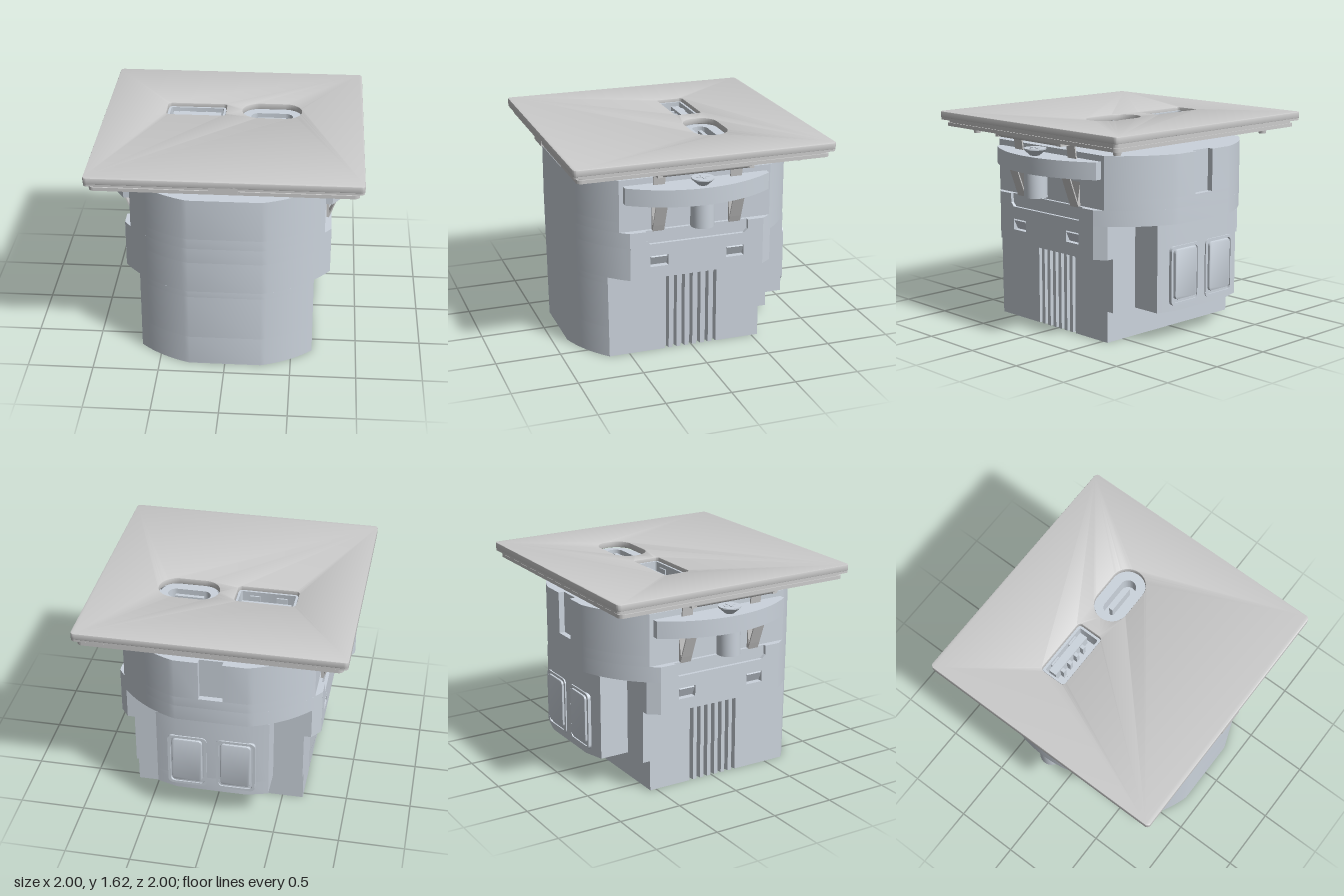
import * as THREE from 'three';
import { toCreasedNormals } from 'three/addons/utils/BufferGeometryUtils.js';

const grey = new THREE.MeshStandardMaterial({ color: 0xcccccc });
const blueGrey = new THREE.MeshStandardMaterial({ color: 0xcbd3dc });
const R = 0.94, FLAT = 0.9, FX = Math.sqrt(R * R - FLAT * FLAT);

function add(parent, name, geo, mat = blueGrey, x = 0, y = 0, z = 0) {
  const m = new THREE.Mesh(geo, mat);
  m.name = name;
  m.position.set(x, y, z);
  parent.add(m);
  return m;
}
const box = (parent, name, x0, x1, y0, y1, z0, z1, mat) =>
  add(parent, name, new THREE.BoxGeometry(x1 - x0, y1 - y0, z1 - z0), mat,
    (x0 + x1) / 2, (y0 + y1) / 2, (z0 + z1) / 2);

// Rounded rectangle in plan; shape y is -z
function roundRect(x0, x1, z0, z1, r, C = THREE.Shape) {
  const s = new C(), a = -z1, b = -z0, h = Math.PI / 2;
  s.absarc(x1 - r, a + r, r, -h, 0);
  s.absarc(x1 - r, b - r, r, 0, h);
  s.absarc(x0 + r, b - r, r, h, 2 * h);
  s.absarc(x0 + r, a + r, r, 2 * h, 3 * h);
  s.closePath();
  return s;
}
function circle(x, z, r, C = THREE.Path) {
  return new C().absarc(x, -z, r, 0, Math.PI * 2);
}
// Upright prism from a plan shape
function prism(shape, y0, y1, holes = [], bevel = 0) {
  shape.holes.push(...holes);
  const g = new THREE.ExtrudeGeometry(shape, {
    depth: y1 - y0 - 2 * bevel, curveSegments: 16, bevelEnabled: bevel > 0,
    bevelSize: bevel, bevelThickness: bevel, bevelOffset: -bevel, bevelSegments: 2,
  });
  g.rotateX(-Math.PI / 2).translate(0, y0 + bevel, 0);
  return toCreasedNormals(g, 0.45);
}
const planShape = pts => new THREE.Shape(pts.map(([x, z]) => new THREE.Vector2(x, -z)));

// Mirrored plan: front flat, arc to x = xm, side points, then a back
function outline(xm, side = [], back = null) {
  const half = [], a0 = Math.atan2(FX, FLAT), a1 = Math.asin(xm / R), n = 12;
  const arc = i => { const a = a0 + (a1 - a0) * i / n; return [R * Math.sin(a), R * Math.cos(a)]; };
  for (let i = 0; i <= n; i++) half.push(arc(i));
  half.push(...side);
  if (back) half.push(...back);
  else for (let i = n; i >= 0; i--) half.push([arc(i)[0], -arc(i)[1]]);
  return half.concat(half.map(([x, z]) => [-x, z]).reverse());
}

function buildHousing(g) {
  // Ventilation grooves cut in the lower side walls
  const grooves = [];
  for (let i = 0; i < 7; i++) {
    const z = 0.2 - i * 0.064;
    grooves.push([0.66, z + 0.016], [0.615, z + 0.008], [0.615, z - 0.008], [0.66, z - 0.016]);
  }
  const edge = Math.sqrt(R * R - 0.78 * 0.78);
  const inset = [[0.735, edge], [0.735, -edge], [0.78, -edge]];
  const keyway = outline(0.73);
  keyway.splice(keyway.length / 2, 0, [0.09, -FLAT], [0.09, -0.855], [-0.09, -0.855], [-0.09, -FLAT]);
  const levels = [
    [0, 0.008, outline(0.66, grooves, [[0.66, -0.55]]), [roundRect(-0.48, 0.48, -0.13, 0.14, 0.03, THREE.Path)]],
    [0.008, 0.24, outline(0.66, grooves, [[0.66, -0.55]])],
    [0.24, 0.6, outline(0.66, grooves, [[0.66, -0.61]])],
    [0.6, 0.65, outline(0.66, [], [[0.66, -0.61]])],
    [0.65, 0.9, outline(0.78, inset, [[0.715, -0.61]])],
    [0.9, 1.02, outline(0.78, inset)],
    [1.02, 1.1, outline(0.73)],
    [1.1, 1.42, keyway],
  ];
  for (const [y0, y1, pts, holes] of levels) {
    const geo = prism(planShape(pts), y0, y1, holes);
    // slight draft towards the base
    const p = geo.attributes.position;
    for (let i = 0; i < p.count; i++)
      if (p.getZ(i) > 0.6) p.setZ(i, p.getZ(i) * (1 - 0.018 * Math.max(0, 1 - p.getY(i))));
    add(g, 'housing', geo);
  }
  // Rear terminal block with wire holes underneath
  const block = () => planShape([[0.43, -0.6], [0.43, -0.84], [0.27, -0.885],
    [-0.27, -0.885], [-0.43, -0.84], [-0.43, -0.6]]);
  const holes = [-0.32, -0.11, 0.11, 0.32].map(x => circle(x, -0.73, 0.035));
  for (const x of [-0.22, 0.22]) holes.push(roundRect(x - 0.03, x + 0.03, -0.66, -0.62, 0.005, THREE.Path));
  add(g, 'terminalBlock', prism(block(), 0.24, 0.36, holes));
  add(g, 'terminalBlock', prism(block(), 0.36, 0.9));
  box(g, 'terminalLedge', -0.43, 0.43, 0.24, 0.3, -0.6, -0.55);
  // Rear release panels inside U-shaped rims
  for (const s of [-1, 1]) {
    const panel = prism(roundRect(-0.115, 0.115, -0.19, 0.19, 0.03), 0, 0.035, [], 0.006);
    add(g, 'releasePanel', panel, blueGrey, s * 0.185, 0.52, -0.87).rotation.x = -Math.PI / 2;
    const rim = prism(roundRect(-0.15, 0.15, -0.225, 0.225, 0.04), 0, 0.025,
      [roundRect(-0.13, 0.13, -0.205, 0.205, 0.03, THREE.Path)]);
    add(g, 'panelRim', rim, blueGrey, s * 0.185, 0.51, -0.87).rotation.x = -Math.PI / 2;
  }
  // Raised deck on top of the housing
  add(g, 'deck', prism(roundRect(-0.57, 0.57, -0.05, 0.5, 0.04), 1.42, 1.51));
}

// One mounting side, built at +x
function buildSide() {
  const g = new THREE.Group();
  g.name = 'mountingSide';
  // Cover plate with two windows and a dipped top edge (shape x is -z)
  const s = new THREE.Shape([[-0.525, 0.65], [0.525, 0.65], [0.525, 1.02], [0.4, 1.02], [0.4, 0.95],
    [0.37, 0.92], [-0.37, 0.92], [-0.4, 0.95], [-0.4, 1.02], [-0.525, 1.02]].map(p => new THREE.Vector2(...p)));
  for (const z of [-0.3, 0.3])
    s.holes.push(new THREE.Path([[z - 0.07, 0.74], [z + 0.07, 0.74], [z + 0.07, 0.825], [z - 0.07, 0.825]]
      .map(p => new THREE.Vector2(...p))));
  const cover = new THREE.ExtrudeGeometry(s, { depth: 0.047, bevelEnabled: false });
  add(g, 'sideCover', cover.rotateY(Math.PI / 2), blueGrey, 0.733);
  box(g, 'coverDip', 0.72, 0.755, 0.9, 1.02, -0.41, 0.41);
  for (const z of [-0.3, 0.3]) {
    const latch = add(g, 'latch', new THREE.BoxGeometry(0.02, 0.075, 0.13), blueGrey, 0.755, 0.785, z);
    latch.rotation.z = -0.45;
  }
  // Crescent mounting ear with its screw boss
  const ear = [], a = Math.asin(0.56 / 0.96);
  for (let i = 0; i <= 20; i++) {
    const t = a - 2 * a * i / 20;
    ear.push([0.96 * Math.cos(t), 0.96 * Math.sin(t)]);
  }
  ear.push([0.72, -0.56], [0.72, 0.56]);
  add(g, 'mountingEar', prism(planShape(ear), 1.245, 1.375));
  add(g, 'screwBoss', prism(circle(0.87, 0, 0.088, THREE.Shape), 1.06, 1.25, [circle(0.87, 0, 0.045)]));
  const profile = [[0, 1.1], [0.035, 1.1], [0.035, 1.375], [0.085, 1.42], [0.085, 1.43], [0, 1.43]]
    .map(p => new THREE.Vector2(...p));
  add(g, 'screw', toCreasedNormals(new THREE.LatheGeometry(profile, 28), 0.5), blueGrey, 0.875);
  box(g, 'screwCross', 0.83, 0.92, 1.428, 1.434, -0.01, 0.01);
  box(g, 'screwCross', 0.865, 0.885, 1.428, 1.434, -0.045, 0.045);
  // Bent leaf springs
  const path = [[0.8, 1.52], [0.775, 1.36], [0.85, 1.26], [0.775, 1.06], [0.755, 1.01], [0.738, 1.01], [0.738, 1.2]];
  const leaf = new THREE.Shape(path.concat(path.map(([x, y]) => [x - 0.012, y - 0.005]).reverse())
    .map(p => new THREE.Vector2(...p)));
  for (const z of [-0.3, 0.3]) {
    const geo = new THREE.ExtrudeGeometry(leaf, { depth: 0.09, bevelEnabled: false });
    add(g, 'leafSpring', geo, new THREE.MeshStandardMaterial({ color: 0xcccccc, side: THREE.DoubleSide }), 0, 0, z - 0.045);
  }
  // Hinge rod and holder under the face plate
  box(g, 'hingeHolder', 0.8, 0.94, 1.515, 1.558, -0.37, 0.37, grey);
  const rod = add(g, 'hingeRod', new THREE.CylinderGeometry(0.027, 0.027, 0.7, 16), grey, 0.925, 1.51, 0);
  rod.rotation.x = Math.PI / 2;
  for (const z of [-0.35, 0.35]) box(g, 'hingeEnd', 0.86, 0.95, 1.485, 1.55, z - 0.02, z + 0.02, grey);
  return g;
}

function buildFacePlate(g) {
  const openings = e => [
    roundRect(-0.525 - e, -0.07 + e, -0.335 - e, -0.13 + e, 0.025 + e, THREE.Path),
    roundRect(0.065 - e, 0.52 + e, -0.365 - e, -0.105 + e, 0.13 + e, THREE.Path)];
  add(g, 'facePlate', prism(roundRect(-1, 1, -1, 1, 0.03), 1.575, 1.625, openings(0.004), 0.006), grey);
  add(g, 'plateLip', prism(roundRect(-0.998, 0.998, -0.998, 0.998, 0.03), 1.56, 1.58,
    [roundRect(-0.97, 0.97, -0.97, 0.97, 0.02, THREE.Path)]), grey);
  add(g, 'backFrame', prism(roundRect(-0.955, 0.955, -0.955, 0.955, 0.04), 1.535, 1.58, [circle(0, 0, 0.88)]), grey);
  add(g, 'frameEdge', prism(roundRect(-0.965, 0.965, -0.965, 0.965, 0.04), 1.51, 1.537,
    [roundRect(-0.935, 0.935, -0.935, 0.935, 0.03, THREE.Path)]), grey);
  // Serrated locating ring
  const teeth = [];
  for (let i = 0; i < 160; i++) {
    const r = i % 2 ? 0.935 : 0.915, t = i * Math.PI / 80;
    teeth.push([r * Math.cos(t), r * Math.sin(t)]);
  }
  add(g, 'locatingRing', prism(planShape(teeth), 1.51, 1.54, [circle(0, 0, 0.87)]), grey);
  // Corner pegs and front pry tab
  for (const x of [-0.79, 0.79]) for (const z of [-0.79, 0.79])
    add(g, 'cornerPeg', new THREE.CylinderGeometry(0.038, 0.028, 0.085, 20), grey, x, 1.4975, z);
  box(g, 'pryTab', -0.105, 0.105, 1.535, 1.59, 0.95, 1.0, grey);
}

function buildSockets(g) {
  // Rectangular socket: shell, floor, tongue and contacts
  add(g, 'rectangularSocket', prism(roundRect(-0.522, -0.073, -0.332, -0.133, 0.025), 1.42, 1.597,
    [roundRect(-0.505, -0.09, -0.315, -0.15, 0.012, THREE.Path)]));
  box(g, 'socketFloor', -0.51, -0.085, 1.42, 1.45, -0.32, -0.145);
  box(g, 'socketTongue', -0.485, -0.11, 1.44, 1.57, -0.298, -0.236);
  for (let i = 0; i < 4; i++)
    box(g, 'contact', -0.43 + i * 0.077, -0.4 + i * 0.077, 1.44, 1.55, -0.238, -0.205);
  for (const x of [-0.4, -0.195]) for (const z of [-0.315, -0.162])
    box(g, 'gripTab', x - 0.04, x + 0.04, 1.52, 1.565, z, z + 0.012);
  // Oval socket: collar, inner shell and tongue
  add(g, 'ovalCollar', prism(roundRect(0.068, 0.517, -0.362, -0.108, 0.126), 1.42, 1.575,
    [roundRect(0.13, 0.455, -0.295, -0.175, 0.06, THREE.Path)]));
  add(g, 'ovalFloor', prism(roundRect(0.12, 0.465, -0.305, -0.165, 0.069), 1.42, 1.45));
  box(g, 'ovalTongue', 0.18, 0.4, 1.44, 1.56, -0.25, -0.22);
}

export function createModel() {
  const model = new THREE.Group();
  model.name = 'wallSocket';
  buildHousing(model);
  for (const turn of [0, Math.PI]) {
    const side = buildSide();
    side.rotation.y = turn;
    model.add(side);
  }
  buildFacePlate(model);
  buildSockets(model);
  return model;
}
